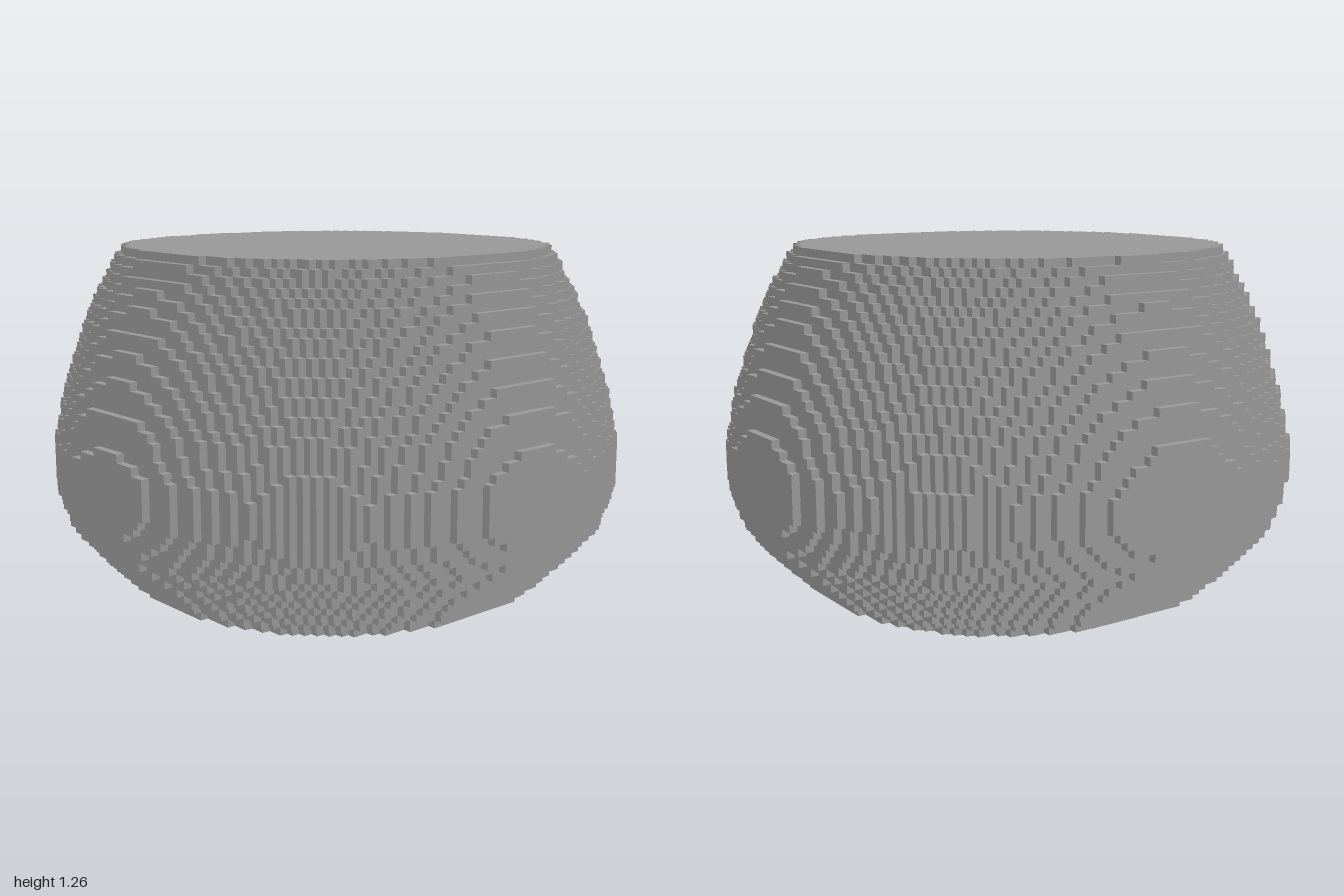
import * as THREE from 'three';

const CELL = 2 / 70; // edge of one cube
const NX = 69, NY = 44, NZ = 70;
const CENTRE_X = -0.003, CENTRE_Z = -0.003;
const WIDTH_RATIO = 0.99;
const ROUNDNESS = 2.1; // 2 is a true circle, more fills out the diagonals

// Silhouette of the bowl: [height, radius]
const PROFILE = [
  [0.014, 0.65], [0.043, 0.73], [0.1, 0.79], [0.16, 0.85], [0.22, 0.9], [0.27, 0.945],
  [0.33, 0.967], [0.36, 0.978], [0.43, 0.992], [0.55, 0.992], [0.614, 0.976], [0.643, 0.9715],
  [0.671, 0.967], [0.71, 0.96], [0.8, 0.932], [0.9, 0.9], [1.0, 0.865], [1.1, 0.82],
  [1.2, 0.765], [1.243, 0.736],
];

function radiusAt(y) {
  for (let i = 1; i < PROFILE.length; i++) {
    const [y0, r0] = PROFILE[i - 1], [y1, r1] = PROFILE[i];
    if (y <= y1) return r0 + (r1 - r0) * Math.max(0, (y - y0) / (y1 - y0));
  }
  return PROFILE[PROFILE.length - 1][1];
}

// Distance from a centre to the nearest point of a cell along one axis
const nearest = (index, count, centre) =>
  Math.max(0, Math.abs((index + 0.5 - count / 2) * CELL - centre) - CELL / 2);

// A cube is filled when it touches the round solid
function filled(i, j, k) {
  if (i < 0 || j < 0 || k < 0 || i >= NX || j >= NY || k >= NZ) return false;
  const r = radiusAt((j + 0.5) * CELL);
  const x = nearest(i, NX, CENTRE_X) / WIDTH_RATIO, z = nearest(k, NZ, CENTRE_Z);
  return (x / r) ** ROUNDNESS + (z / r) ** ROUNDNESS <= 1;
}

// Only the exposed faces of the cubes are built
function voxelGeometry() {
  const positions = [], normals = [], indices = [];
  const corners = [[0, 0], [1, 0], [1, 1], [0, 1]];

  function addFace(cell, axis, sign) {
    const start = positions.length / 3;
    const u = (axis + 1) % 3, v = (axis + 2) % 3;
    for (const [cu, cv] of corners) {
      const p = [...cell], n = [0, 0, 0];
      p[axis] += sign > 0 ? 1 : 0;
      p[u] += cu;
      p[v] += cv;
      n[axis] = sign;
      positions.push((p[0] - NX / 2) * CELL, p[1] * CELL, (p[2] - NZ / 2) * CELL);
      normals.push(...n);
    }
    const order = sign > 0 ? [0, 1, 2, 0, 2, 3] : [0, 2, 1, 0, 3, 2];
    indices.push(...order.map((o) => start + o));
  }

  for (let j = 0; j < NY; j++)
    for (let k = 0; k < NZ; k++)
      for (let i = 0; i < NX; i++) {
        if (!filled(i, j, k)) continue;
        for (let axis = 0; axis < 3; axis++)
          for (const sign of [-1, 1]) {
            const next = [i, j, k];
            next[axis] += sign;
            if (!filled(...next)) addFace([i, j, k], axis, sign);
          }
      }

  const geometry = new THREE.BufferGeometry();
  geometry.setAttribute('position', new THREE.Float32BufferAttribute(positions, 3));
  geometry.setAttribute('normal', new THREE.Float32BufferAttribute(normals, 3));
  geometry.setIndex(indices);
  return geometry;
}

export function createModel() {
  const group = new THREE.Group();
  group.name = 'steppedBowl';
  const material = new THREE.MeshStandardMaterial({ color: 0x9b9b9b });
  const body = new THREE.Mesh(voxelGeometry(), material);
  body.name = 'body';
  group.add(body);
  return group;
}
